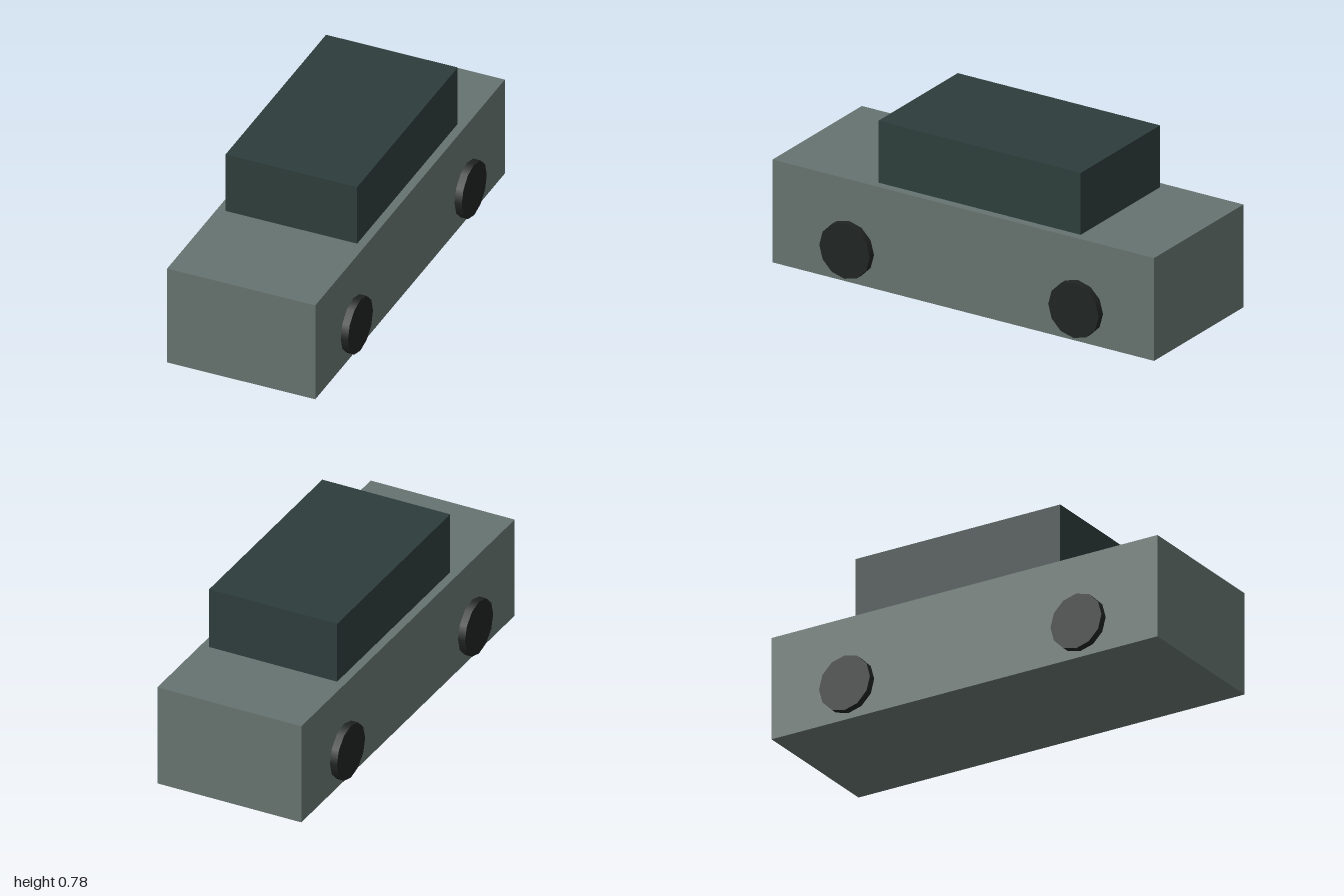
import * as THREE from 'three';

export function createModel() {
  const car = new THREE.Group();
  car.name = 'car';

  const paint = new THREE.MeshStandardMaterial({ color: 0x66736f });
  const glass = new THREE.MeshStandardMaterial({ color: 0x2d3d3b });
  const rubber = new THREE.MeshStandardMaterial({ color: 0x202423 });

  const add = (name, geometry, material, x, y, z) => {
    const mesh = new THREE.Mesh(geometry, material);
    mesh.name = name;
    mesh.position.set(x, y, z);
    car.add(mesh);
  };

  // Long lower body with the cabin standing on it, set slightly back
  add('body', new THREE.BoxGeometry(0.714, 0.49, 2), paint, 0, 0.245, 0);
  add('cabin', new THREE.BoxGeometry(0.634, 0.295, 1.06), glass, 0, 0.6375, -0.059);

  // Four twelve-sided wheels, half sunk into the sides
  const wheel = new THREE.CylinderGeometry(0.132, 0.132, 0.07, 12).rotateZ(Math.PI / 2);
  for (const [side, sx] of [['Left', 1], ['Right', -1]]) {
    for (const [end, sz] of [['front', 1], ['rear', -1]]) {
      add(`${end}${side}Wheel`, wheel, rubber, sx * 0.357, 0.16, sz * 0.6);
    }
  }

  return car;
}
